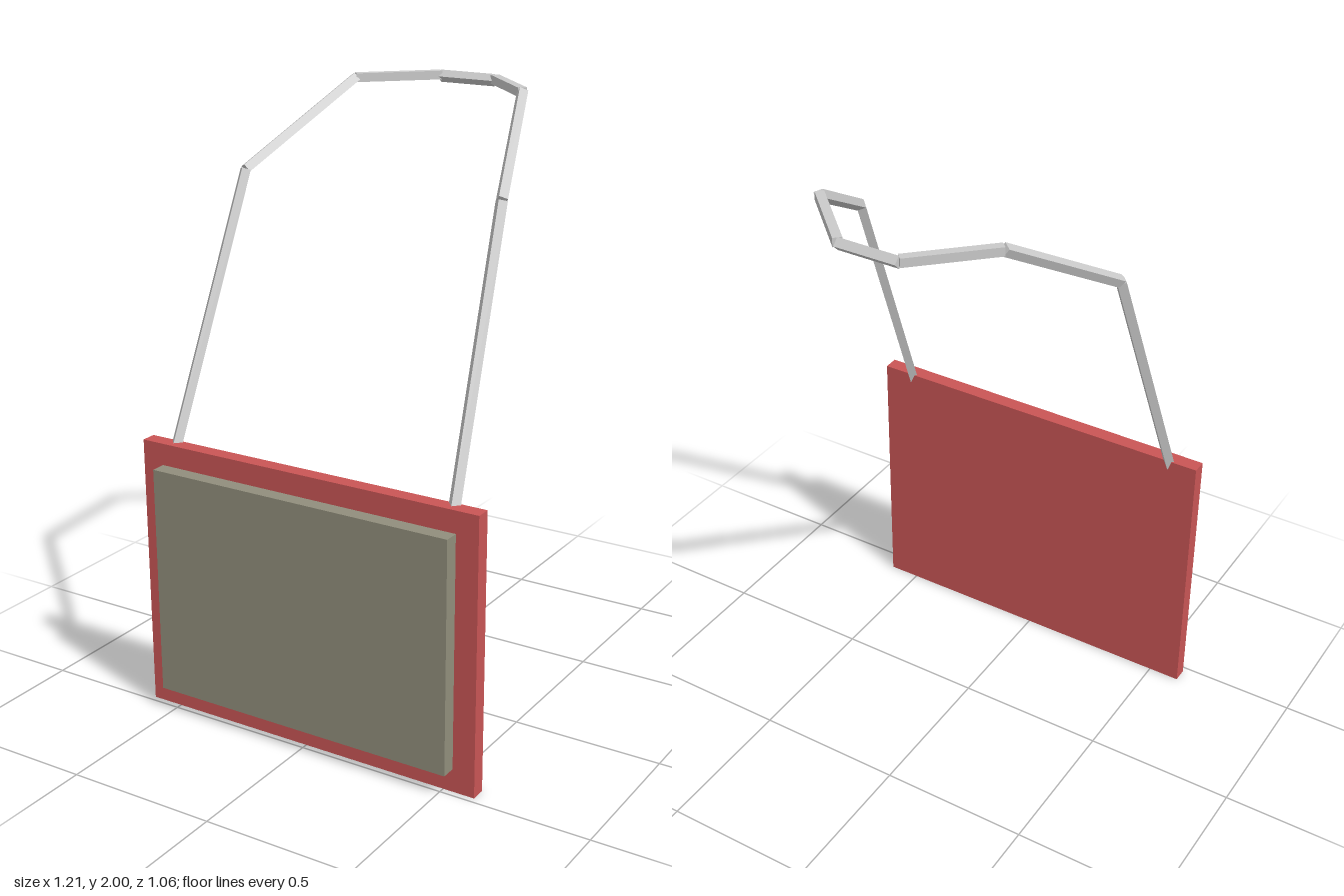
import * as THREE from 'three';

const red = new THREE.MeshStandardMaterial({ name: 'red board', color: 0xc95555 });
const olive = new THREE.MeshStandardMaterial({ name: 'olive grey panel', color: 0x918e7c });
const silver = new THREE.MeshStandardMaterial({ name: 'silver strap', color: 0xcacaca });
// The strap bars are four-sided, so keep their faces flat
silver.flatShading = true;

function box(name, material, w, h, d, y, z) {
  const mesh = new THREE.Mesh(new THREE.BoxGeometry(w, h, d), material);
  mesh.name = name;
  mesh.position.set(0, y, z);
  return mesh;
}

// Square bar between two points
function bar(name, a, b) {
  const dir = b.clone().sub(a);
  const mesh = new THREE.Mesh(new THREE.CylinderGeometry(0.02, 0.02, dir.length(), 4), silver);
  mesh.name = name;
  mesh.position.copy(a).add(b).multiplyScalar(0.5);
  mesh.quaternion.setFromUnitVectors(new THREE.Vector3(0, 1, 0), dir.normalize());
  return mesh;
}

export function createModel() {
  const model = new THREE.Group();
  model.name = 'hanging sign';

  // Board with raised front panel
  model.add(box('board', red, 1.214, 0.915, 0.05, 0.4575, 0.455));
  model.add(box('frontPanel', olive, 1.064, 0.766, 0.05, 0.46, 0.505));

  // Neck strap, mirrored left and right
  const path = [[0.505, 0.89, 0.447], [0.457, 1.735, 0.1], [0.305, 1.984, -0.31], [0.1, 1.984, -0.512]];
  const strap = new THREE.Group();
  strap.name = 'strap';
  const parts = ['Lower', 'Shoulder', 'Neck'];
  for (const [side, s] of [['left', 1], ['right', -1]]) {
    const pts = path.map(([x, y, z]) => new THREE.Vector3(s * x, y, z));
    parts.forEach((part, i) => strap.add(bar(side + part + 'Strap', pts[i], pts[i + 1])));
  }
  const [x, y, z] = path[3];
  strap.add(bar('backStrap', new THREE.Vector3(-x, y - 0.004, z), new THREE.Vector3(x, y - 0.004, z)));
  model.add(strap);
  return model;
}
